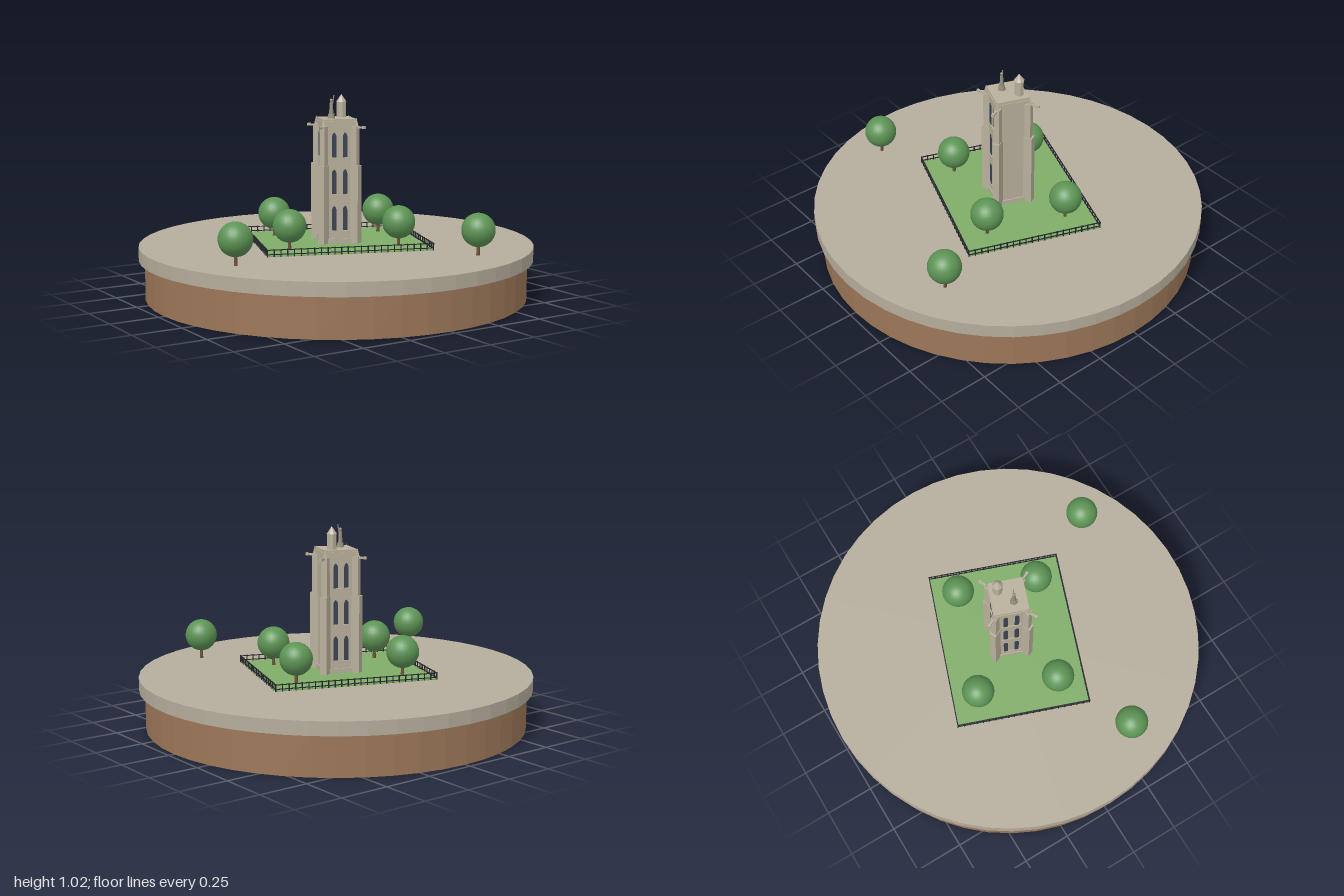
import * as THREE from 'three';

export function createModel() {
  const mat = (name, color) => {
    const m = new THREE.MeshStandardMaterial({ color });
    m.name = name;
    return m;
  };
  const paving = mat('paving', 0xb5ad9c), soil = mat('soil', 0x9c7759), grass = mat('grass', 0x80ad69);
  const stone = mat('stone', 0xb9b09c), statueStone = mat('statueStone', 0x97907f), glass = mat('glass', 0x3c4452);
  const iron = mat('iron', 0x25282c), leaf = mat('leaf', 0x5d9455), bark = mat('bark', 0x70503a);

  const root = new THREE.Group();
  root.name = 'towerSquare';
  const add = (parent, name, geo, material, x = 0, y = 0, z = 0) => {
    const m = new THREE.Mesh(geo, material);
    m.name = name;
    m.position.set(x, y, z);
    parent.add(m);
    return m;
  };
  const group = (parent, name, ry = 0) => {
    const g = new THREE.Group();
    g.name = name;
    g.rotation.y = ry;
    parent.add(g);
    return g;
  };
  const box = (w, h, d) => new THREE.BoxGeometry(w, h, d);
  const cyl = (rt, rb, h, n) => new THREE.CylinderGeometry(rt, rb, h, n);
  const flat = (geo) => {
    const g = geo.toNonIndexed();
    g.computeVertexNormals();
    return g;
  };

  // Round base
  const GROUND = 0.268;
  add(root, 'soilBase', flat(cyl(0.97, 0.97, 0.2, 48)), soil, 0, 0.1, 0);
  add(root, 'pavedDisc', flat(cyl(1, 1, 0.068, 48)), paving, 0, 0.234, 0);

  // Everything inside the fence is turned by 20 degrees
  const garden = group(root, 'garden', -THREE.MathUtils.degToRad(20));
  const W = 0.83, D = 0.69;
  add(garden, 'lawn', box(W, 0.006, D), grass, 0, GROUND + 0.003, 0);

  // Iron fence: rails and posts on four sides
  for (let i = 0; i < 4; i++) {
    const side = group(garden, 'fenceSide', i * Math.PI / 2);
    const len = i % 2 ? D : W, off = (i % 2 ? W : D) / 2;
    for (const y of [0.012, 0.034]) add(side, 'fenceRail', box(len, 0.004, 0.005), iron, 0, GROUND + y, off);
    const n = Math.round(len / 0.033);
    for (let k = 0; k < n; k++)
      add(side, 'fencePost', box(0.005, 0.038, 0.005), iron, -len / 2 + k * len / n, GROUND + 0.019, off);
  }

  // Tower body and cornice
  const tower = group(garden, 'tower');
  const H = 0.08;
  add(tower, 'towerBody', box(2 * H, 0.61, 2 * H), stone, 0, GROUND + 0.305, 0);
  add(tower, 'plinth', box(0.172, 0.03, 0.172), stone, 0, GROUND + 0.015, 0);
  add(tower, 'cornice', box(0.178, 0.014, 0.178), stone, 0, 0.883, 0);
  add(tower, 'parapet', box(0.17, 0.012, 0.17), stone, 0, 0.896, 0);

  // Stepped diagonal buttresses with pinnacles and gargoyles
  for (let i = 0; i < 4; i++) {
    const b = group(tower, 'buttress', Math.PI / 4 + i * Math.PI / 2);
    add(b, 'buttressLower', box(0.036, 0.4, 0.05), stone, 0, GROUND + 0.2, 0.115);
    add(b, 'buttressUpper', box(0.03, 0.2, 0.044), stone, 0, 0.765, 0.108);
    add(b, 'pinnacle', flat(cyl(0, 0.013, 0.045, 4)), stone, 0, 0.887, 0.12);
    add(b, 'gargoyle', box(0.01, 0.01, 0.06), stone, 0, 0.86, 0.14);
    add(b, 'gargoyleHead', box(0.014, 0.014, 0.014), stone, 0, 0.861, 0.164);
  }

  // Paired pointed windows in three storeys on three sides
  const arch = (w, h) => {
    const s = new THREE.Shape();
    s.moveTo(-w / 2, 0);
    s.lineTo(w / 2, 0);
    s.lineTo(w / 2, h - w);
    s.quadraticCurveTo(w / 2, h - w * 0.4, 0, h);
    s.quadraticCurveTo(-w / 2, h - w * 0.4, -w / 2, h - w);
    return new THREE.ExtrudeGeometry(s, { depth: 0.004, bevelEnabled: false, curveSegments: 4 });
  };
  const pane = arch(0.022, 0.125);
  for (const turn of [0, Math.PI, -Math.PI / 2]) {
    const face = group(tower, 'windowSide', turn);
    for (const y of [0.34, 0.525, 0.71]) {
      for (const x of [-0.028, 0.028]) add(face, 'window', pane, glass, x, y, H - 0.001);
      add(face, 'windowSill', box(0.1, 0.006, 0.007), stone, 0, y - 0.004, H + 0.002);
    }
  }

  // Stair turret on the roof
  const turret = group(tower, 'stairTurret');
  turret.position.set(0.037, 0.9, -0.045);
  add(turret, 'turretDrum', flat(cyl(0.024, 0.024, 0.08, 8)), stone, 0, 0.04, 0);
  add(turret, 'turretCap', flat(cyl(0, 0.027, 0.038, 8)), stone, 0, 0.099, 0);

  // Roof statue: pedestal, robed figure, head and raised staff
  const statue = group(tower, 'statue');
  statue.position.set(-0.03, 0.9, 0.022);
  add(statue, 'pedestal', cyl(0.016, 0.02, 0.024, 8), statueStone, 0, 0.012, 0);
  add(statue, 'robe', cyl(0.007, 0.012, 0.062, 8), statueStone, 0, 0.055, 0);
  add(statue, 'head', new THREE.SphereGeometry(0.008, 10, 8), statueStone, 0, 0.092, 0);
  const staff = add(statue, 'raisedArm', cyl(0.003, 0.003, 0.05, 6), statueStone, 0.01, 0.094, 0);
  staff.rotation.z = -0.15;

  // Trees, four on the lawn and two on the paving
  const crown = new THREE.SphereGeometry(0.083, 24, 16), trunk = cyl(0.007, 0.009, 0.07, 8);
  const spots = [[-0.193, -0.296], [0.33, -0.105], [-0.333, 0.096], [0.188, 0.286], [-0.735, 0.283], [0.374, 0.688]];
  for (const [x, z] of spots) {
    const tree = group(root, 'tree');
    tree.position.set(x, GROUND, z);
    add(tree, 'trunk', trunk, bark, 0, 0.035, 0);
    add(tree, 'crown', crown, leaf, 0, 0.125, 0);
  }
  return root;
}
